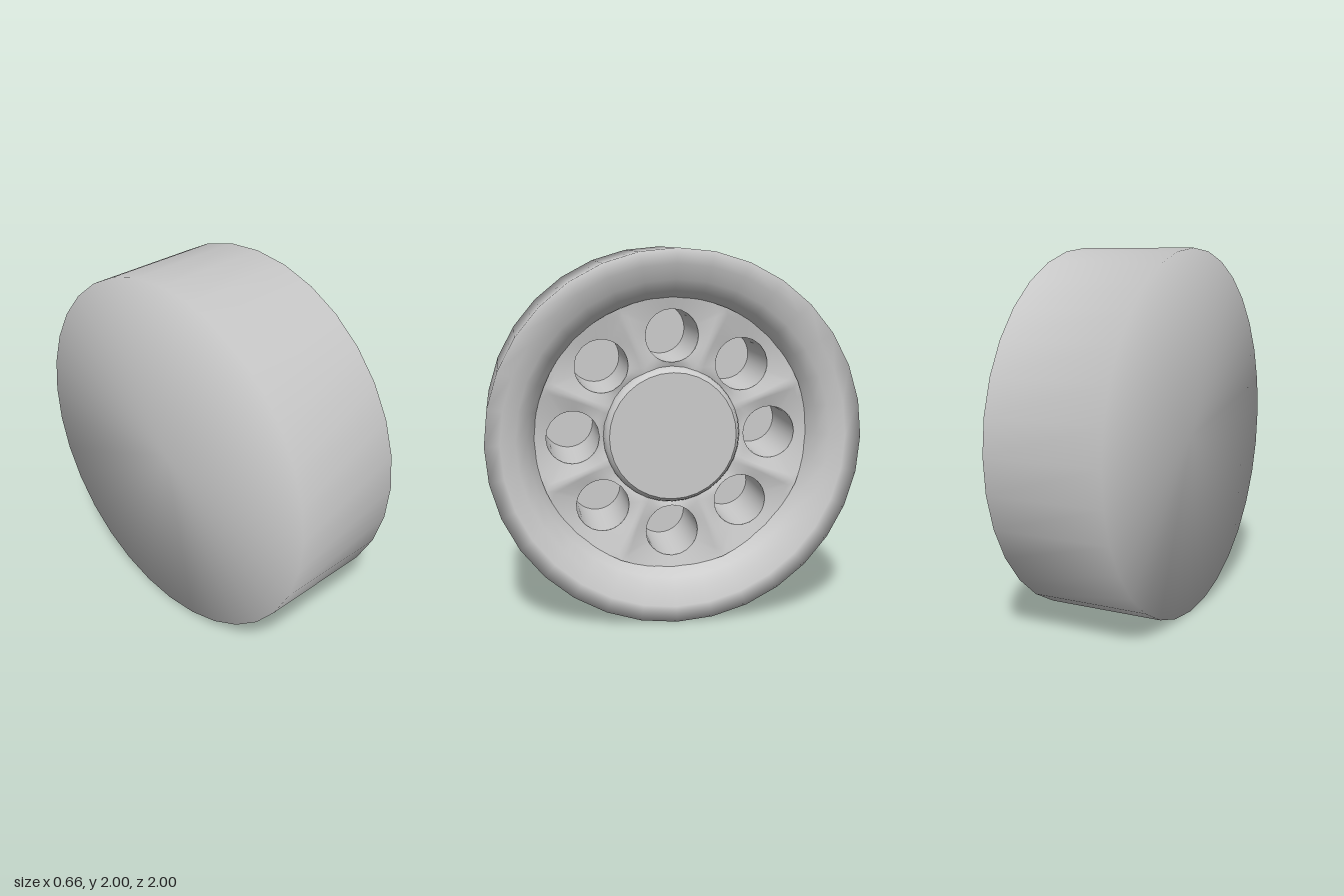
import * as THREE from 'three';
import { mergeVertices } from 'three/addons/utils/BufferGeometryUtils.js';

const HOLES = 8, HOLE_R = 0.143, HOLE_AT = 0.537, HOLE_X = 0.15;
const HUB_R = 0.355, RIM_R = 0.742, FLOOR_X = -0.3;
const mat = new THREE.MeshStandardMaterial({ color: 0xcccccc });
const thin = new THREE.MeshStandardMaterial({ color: 0xcccccc, side: THREE.DoubleSide });

function mesh(name, geometry, material = mat) {
  const m = new THREE.Mesh(geometry, material);
  m.name = name;
  return m;
}

// Profile of [radius, x] pairs, turned around the x axle
function turned(points) {
  const g = new THREE.LatheGeometry(points.map(([r, x]) => new THREE.Vector2(r, x)), 32);
  return g.rotateZ(-Math.PI / 2);
}

// Outline of one wheel sector: [radius, angle, height] running around its hole
function sectorOutline() {
  const half = Math.PI / HOLES, out = [];
  const side = (n, f) => { for (let i = 0; i < n; i++) out.push(f(i / n)); };
  const lerp = THREE.MathUtils.lerp;
  const ridge = (a) => 0.025 * Math.pow(Math.abs(a) / half, 2);
  side(10, t => [lerp(HUB_R, RIM_R, t), -half, lerp(0.155, 0.19, t)]);
  side(8, t => { const a = lerp(-half, half, t); return [RIM_R, a, 0.165 + ridge(a)]; });
  side(10, t => [lerp(RIM_R, HUB_R, t), half, lerp(0.19, 0.155, t)]);
  side(4, t => { const a = lerp(half, -half, t); return [HUB_R, a, 0.13 + ridge(a)]; });
  return out;
}

// Spoked plate: every sector is lofted from its round hole to its outline
function spokePlate() {
  const outline = sectorOutline(), n = outline.length, rows = 4;
  const pos = [], index = [];
  for (let k = 0; k < HOLES; k++) {
    const turn = k * 2 * Math.PI / HOLES, base = pos.length / 3;
    const c = Math.cos(turn), s = Math.sin(turn);
    for (let j = 0; j <= rows; j++) {
      const t = j / rows;
      for (const [r, a, h] of outline) {
        const oy = r * Math.cos(a), oz = r * Math.sin(a);
        const dir = Math.atan2(oz, oy - HOLE_AT);
        const y = THREE.MathUtils.lerp(HOLE_AT + HOLE_R * Math.cos(dir), oy, t);
        const z = THREE.MathUtils.lerp(HOLE_R * Math.sin(dir), oz, t);
        pos.push(THREE.MathUtils.lerp(HOLE_X, h, t), y * c - z * s, y * s + z * c);
      }
    }
    for (let j = 0; j < rows; j++) for (let i = 0; i < n; i++) {
      const a = base + j * n + i, b = base + j * n + (i + 1) % n;
      index.push(a, a + n, b + n, a, b + n, b);
    }
  }
  let g = new THREE.BufferGeometry();
  g.setAttribute('position', new THREE.Float32BufferAttribute(pos, 3));
  g.setIndex(index);
  g = mergeVertices(g, 1e-4);
  g.computeVertexNormals();
  return g;
}

export function createModel() {
  const model = new THREE.Group();
  model.name = 'wheel';
  const wheel = new THREE.Group();
  wheel.name = 'wheelBody';
  wheel.position.y = 1;
  model.add(wheel);

  // Tyre with closed back and a dished outer wall, softly shaded over its edges
  wheel.add(mesh('tyre', turned([
    [0, -0.33], [1, -0.33], [1, 0.33], [0.92, 0.315], [0.84, 0.285], [0.78, 0.245], [0.74, 0.16],
  ])));

  wheel.add(mesh('spokePlate', spokePlate()));

  // Hub: rounded collar and flat cap
  wheel.add(mesh('hubCollar', turned([[0.375, 0.12], [0.37, 0.16], [0.36, 0.185], [0.345, 0.2]])));
  wheel.add(mesh('hubCap', new THREE.CircleGeometry(0.345, 32).rotateY(Math.PI / 2).translate(0.2, 0, 0)));

  // Deep round holes with flat floors
  const depth = HOLE_X - FLOOR_X;
  const wall = new THREE.CylinderGeometry(HOLE_R, HOLE_R, depth, 32, 1, true)
    .rotateZ(-Math.PI / 2).translate((HOLE_X + FLOOR_X) / 2, HOLE_AT, 0);
  const floor = new THREE.CircleGeometry(HOLE_R, 32).rotateY(Math.PI / 2).translate(FLOOR_X, HOLE_AT, 0);
  for (let k = 0; k < HOLES; k++) {
    const hole = new THREE.Group();
    hole.name = 'hole' + (k + 1);
    hole.rotation.x = k * 2 * Math.PI / HOLES;
    hole.add(mesh('holeWall', wall, thin), mesh('holeFloor', floor));
    wheel.add(hole);
  }
  return model;
}
